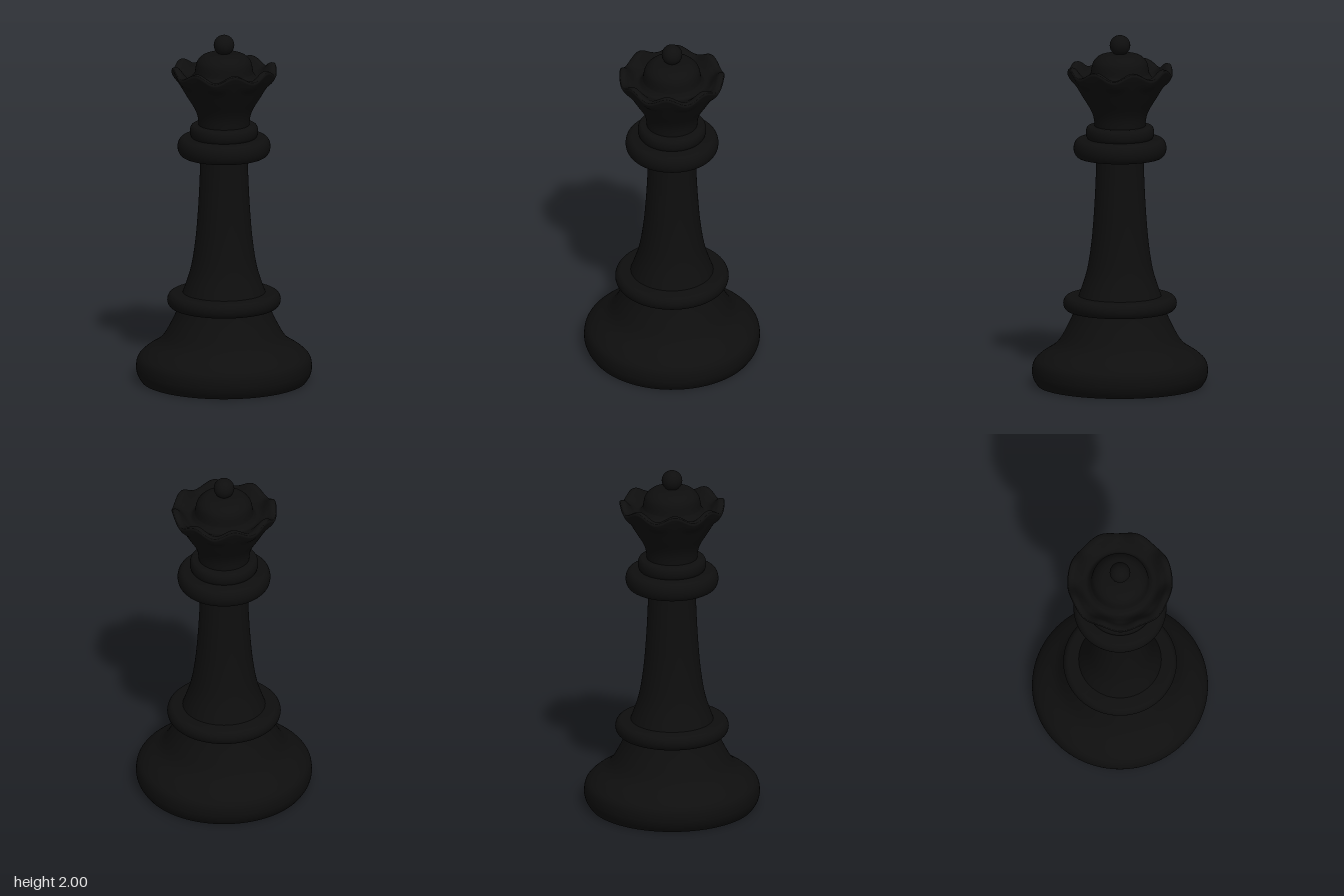
import * as THREE from 'three';
import { mergeVertices, toCreasedNormals } from 'three/addons/utils/BufferGeometryUtils.js';

const SEGMENTS = 96;

// Smooth curve through a few [radius, height] points
function spline(points, divisions) {
  return new THREE.SplineCurve(points.map(([r, y]) => new THREE.Vector2(r, y))).getPoints(divisions);
}

// Flat-topped disc with a bulging side
function ringProfile(bottom, top, flatRadius, radius) {
  const points = [new THREE.Vector2(0, bottom)];
  const middle = (bottom + top) / 2;
  for (let i = 0; i <= 12; i++) {
    const a = -Math.PI / 2 + (i / 12) * Math.PI;
    points.push(new THREE.Vector2(
      flatRadius + (radius - flatRadius) * Math.cos(a),
      middle + ((top - bottom) / 2) * Math.sin(a)
    ));
  }
  points.push(new THREE.Vector2(0, top));
  return points;
}

export function createModel() {
  const group = new THREE.Group();
  const black = new THREE.MeshStandardMaterial({ color: 0x0e0e0e });
  black.name = 'black';

  function add(name, geometry) {
    const mesh = new THREE.Mesh(geometry, black);
    mesh.name = name;
    group.add(mesh);
    return mesh;
  }
  const turned = (name, profile) =>
    add(name, toCreasedNormals(new THREE.LatheGeometry(profile, SEGMENTS), 0.7));

  // Foot: flat underside, bulging edge, concave slope
  turned('base', [
    new THREE.Vector2(0, 0),
    ...spline([[0.465, 0], [0.487, 0.035], [0.496, 0.08], [0.485, 0.135], [0.44, 0.18],
      [0.355, 0.24], [0.295, 0.34], [0.255, 0.43], [0.245, 0.46]], 40),
  ]);
  turned('lowerRing', ringProfile(0.425, 0.512, 0.285, 0.32));

  // Tapering stem
  turned('stem', spline([[0.245, 0.48], [0.23, 0.52], [0.188, 0.65], [0.162, 0.81],
    [0.146, 1.0], [0.137, 1.18], [0.133, 1.32]], 40));
  turned('upperRing', ringProfile(1.3, 1.41, 0.225, 0.262));
  turned('collar', ringProfile(1.405, 1.482, 0.172, 0.193));

  // Crown: flared cup, lip, groove and inner dome
  const crownProfile = [
    ...spline([[0.142, 1.47], [0.149, 1.53], [0.168, 1.58], [0.205, 1.64], [0.246, 1.71],
      [0.276, 1.765], [0.297, 1.812]], 30),
    ...spline([[0.294, 1.822], [0.28, 1.826], [0.262, 1.822], [0.24, 1.795],
      [0.212, 1.762], [0.185, 1.757], [0.164, 1.785]], 24),
    ...spline([[0.161, 1.81], [0.152, 1.845], [0.13, 1.872], [0.1, 1.888], [0.05, 1.894], [0, 1.896]], 20),
  ];
  let crown = new THREE.LatheGeometry(crownProfile, 128);
  const pos = crown.attributes.position;
  for (let i = 0; i < pos.count; i++) {
    const x = pos.getX(i), y = pos.getY(i), z = pos.getZ(i);
    // Eight peaks around the lip, with valleys facing the axes
    const valley = (1 + Math.cos(8 * Math.atan2(z, x))) / 2;
    const weight = THREE.MathUtils.smoothstep(Math.hypot(x, z), 0.2, 0.27)
      * THREE.MathUtils.smoothstep(y, 1.68, 1.81);
    pos.setY(i, y - 0.042 * valley * weight);
  }
  crown.deleteAttribute('uv');
  crown.deleteAttribute('normal');
  crown = mergeVertices(crown, 1e-5);
  crown.computeVertexNormals();
  add('crown', crown);

  // Ball on top
  add('finial', new THREE.SphereGeometry(0.058, 40, 28)).position.y = 1.942;

  return group;
}
